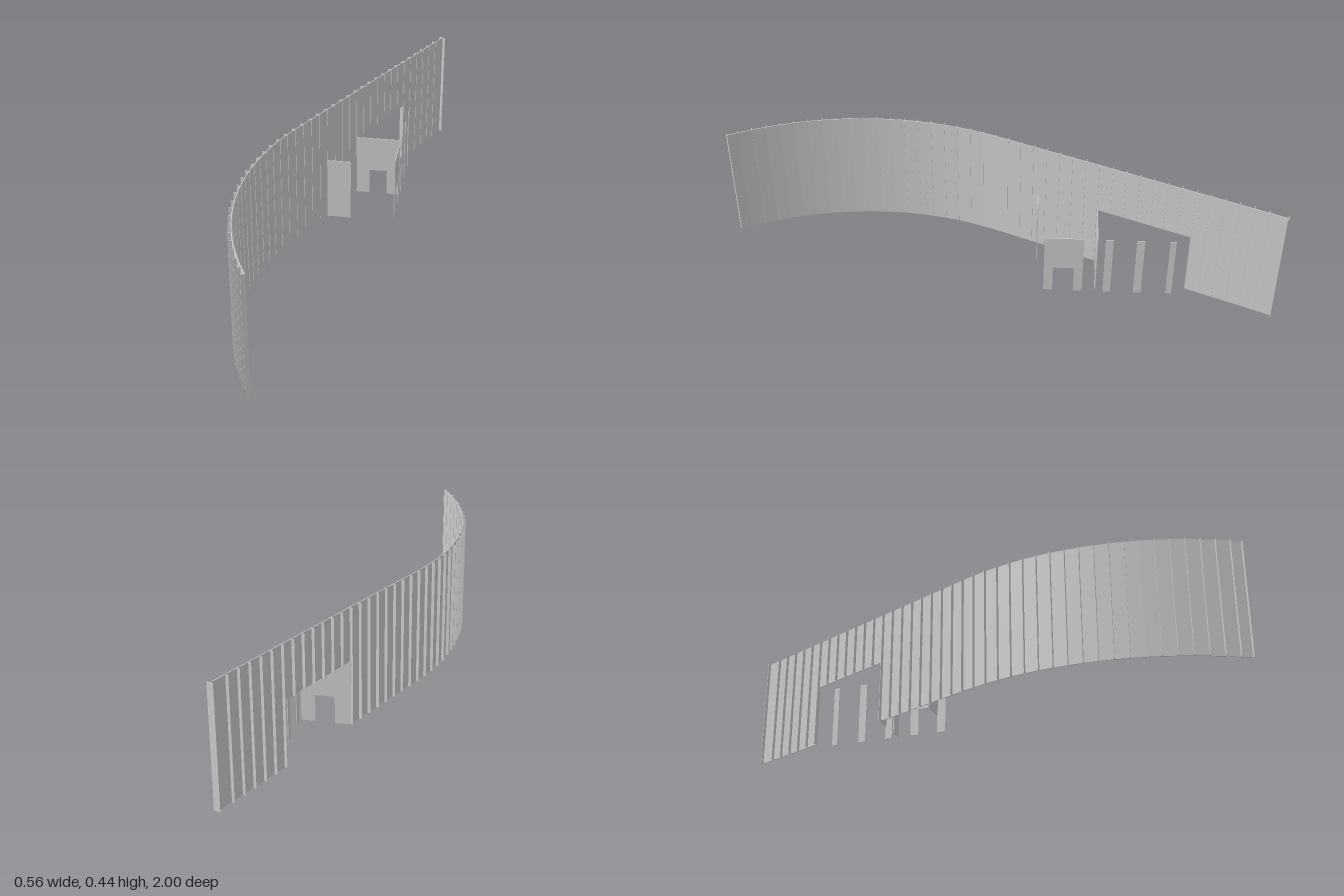
import * as THREE from 'three';

const HEIGHT = 0.435, DOOR = 0.238;   // wall and doorway heights
const R = 1.11, A = 0.412, L = 1.092; // arc radius, straight angle, straight length
const END = 2.112, PITCH = 0.0514, FIRST = 0.0146;
const CX = 0.845, CZ = 0.45;
const T = 0.003;

// Point and tangent at distance s along the wall: a straight run into an arc
function wallAt(s) {
  const a = s < L ? A : A - (s - L) / R;
  const back = Math.max(L - s, 0);
  return {
    x: CX - R * Math.cos(a) + back * Math.sin(a),
    z: CZ - R * Math.sin(a) - back * Math.cos(a),
    turn: Math.atan2(-Math.cos(a), -Math.sin(a)),
  };
}

export function createModel() {
  const model = new THREE.Group();
  const material = new THREE.MeshStandardMaterial({ color: 0xcccccc, side: THREE.DoubleSide });

  const add = (parent, name, geometry, x, y, z, turn = 0) => {
    const mesh = new THREE.Mesh(geometry, material);
    mesh.name = name;
    mesh.position.set(x, y, z);
    mesh.rotation.y = turn;
    parent.add(mesh);
    return mesh;
  };

  // Seams between the wall sheets
  const seams = [0];
  for (let s = FIRST; s < END - 0.02; s += PITCH) seams.push(s);
  seams.push(END);
  const doorStart = 7, doorEnd = 14;

  // Wall sheets, cut short above the doorway
  const wall = new THREE.Group();
  wall.name = 'curvedWall';
  model.add(wall);
  for (let i = 0; i < seams.length - 1; i++) {
    const p = wallAt(seams[i]), q = wallAt(seams[i + 1]);
    const bottom = i >= doorStart && i < doorEnd ? DOOR : 0;
    const length = Math.hypot(q.x - p.x, q.z - p.z);
    add(wall, 'wallSheet', new THREE.BoxGeometry(length, HEIGHT - bottom, T),
      (p.x + q.x) / 2, (HEIGHT + bottom) / 2, (p.z + q.z) / 2,
      Math.atan2(-(q.z - p.z), q.x - p.x));
  }

  // Upright ribs on the outer side of each seam; the first is an end plate
  const ribs = new THREE.Group();
  ribs.name = 'wallRibs';
  model.add(ribs);
  seams.forEach((s, i) => {
    if (i === 1) return;
    const p = wallAt(s);
    const bottom = i > doorStart && i < doorEnd ? DOOR : 0;
    const inner = i === 0 ? -0.013 : -0.003, outer = 0.013;
    const geometry = new THREE.BoxGeometry(0.002, HEIGHT - bottom, outer - inner);
    geometry.translate(0, 0, (inner + outer) / 2);
    add(ribs, 'rib', geometry, p.x, (HEIGHT + bottom) / 2, p.z, p.turn);
  });

  // Flat partition with an optional low opening [start, end, height]
  function partition(width, opening) {
    const shape = new THREE.Shape();
    shape.moveTo(0, 0);
    if (opening) {
      const [from, to, top] = opening;
      shape.lineTo(from, 0).lineTo(from, top).lineTo(to, top).lineTo(to, 0);
    }
    shape.lineTo(width, 0).lineTo(width, DOOR).lineTo(0, DOOR).closePath();
    const geometry = new THREE.ExtrudeGeometry(shape, { depth: T, bevelEnabled: false });
    return geometry.translate(0, 0, -T / 2);
  }

  // Partitions standing across the wall
  add(model, 'shortPartition', partition(0.09), -0.086, 0, -0.155);
  add(model, 'crossPartition', partition(0.175, [0.055, 0.124, 0.1]), -0.01, 0, -0.372);

  // Side partition with its low opening, in line with the pillars
  const PILLAR_X = 0.167;
  add(model, 'sidePartition', partition(0.14, [0.033, 0.108, 0.104]), PILLAR_X, 0, -0.184, Math.PI / 2);
  for (const [from, to] of [[-0.4, -0.427], [-0.51, -0.538], [-0.627, -0.648]]) {
    add(model, 'pillar', partition(from - to), PILLAR_X, 0, from, Math.PI / 2);
  }

  return model;
}
